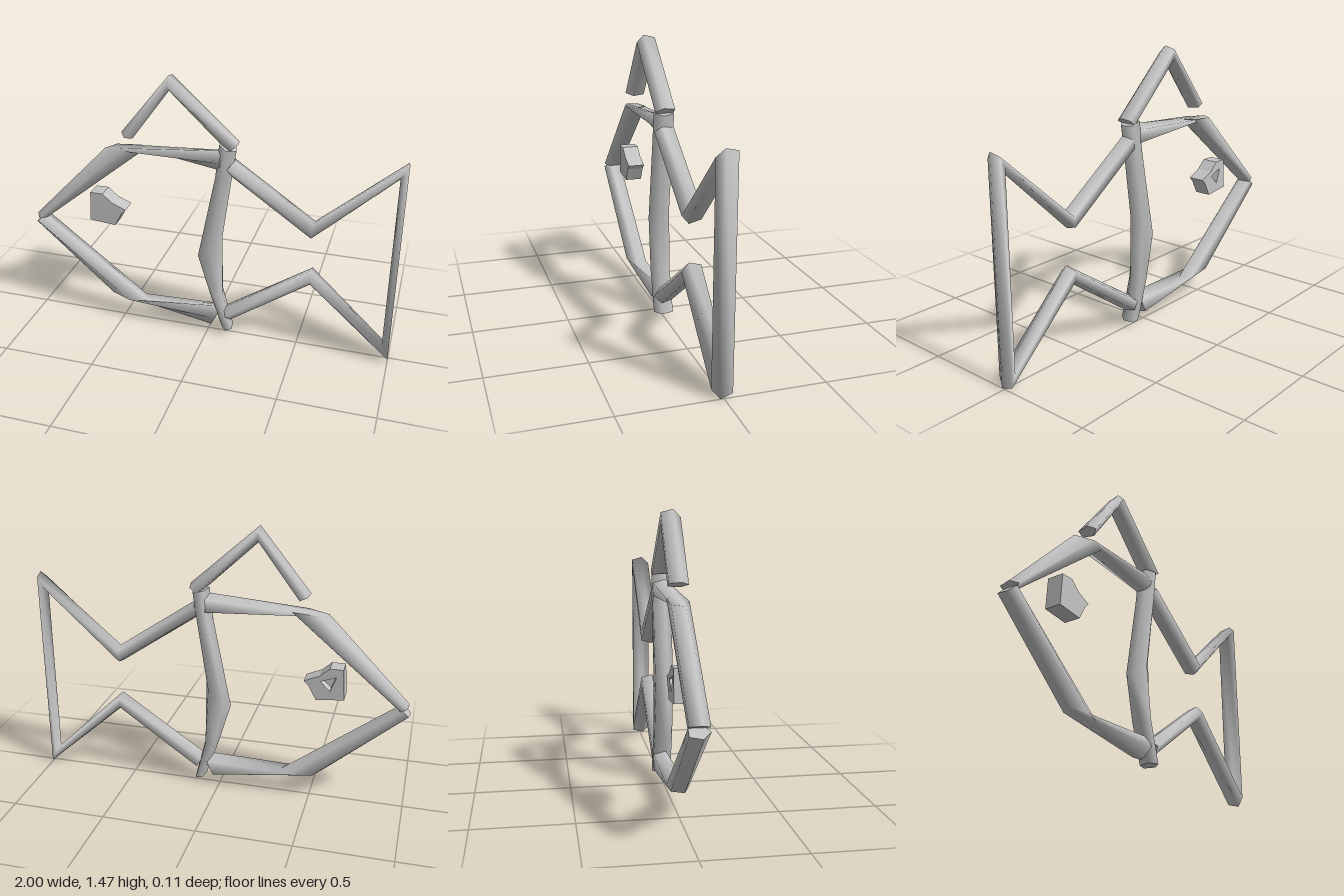
import * as THREE from 'three';

const SIDES = 5;
const DEPTH = 0.055;

// Strut swept through rings; each ring is [leftX, leftY, rightX, rightY] as seen along the travel
function strut(name, rings, material) {
  const positions = [];
  const index = [];
  const addRing = ([px, py, qx, qy]) => {
    for (let j = 0; j < SIDES; j++) {
      const a = Math.PI / 10 + (j * Math.PI * 2) / SIDES;
      const s = Math.cos(a) / Math.cos(Math.PI / 10) / 2;
      positions.push((px + qx) / 2 + (px - qx) * s, (py + qy) / 2 + (py - qy) * s, DEPTH * Math.sin(a));
    }
  };
  rings.forEach(addRing);
  for (let i = 0; i < rings.length - 1; i++) {
    for (let j = 0; j < SIDES; j++) {
      const a = i * SIDES + j;
      const b = i * SIDES + ((j + 1) % SIDES);
      index.push(a, b, a + SIDES, b, b + SIDES, a + SIDES);
    }
  }
  // end caps with their own vertices, so the ends stay sharp
  const start = rings.length * SIDES;
  addRing(rings[0]);
  addRing(rings[rings.length - 1]);
  for (let j = 1; j < SIDES - 1; j++) {
    index.push(start, start + j + 1, start + j);
    index.push(start + SIDES, start + SIDES + j, start + SIDES + j + 1);
  }
  const geometry = new THREE.BufferGeometry();
  geometry.setAttribute('position', new THREE.Float32BufferAttribute(positions, 3));
  geometry.setIndex(index);
  geometry.computeVertexNormals();
  const mesh = new THREE.Mesh(geometry, material);
  mesh.name = name;
  return mesh;
}

const toPoints = (list) => list.map(([x, y]) => new THREE.Vector2(x, y));

export function createModel() {
  const group = new THREE.Group();
  group.name = 'fishOutline';
  const grey = new THREE.MeshStandardMaterial({ color: 0xc4c4c4 });
  grey.name = 'grey';

  // Body outline, widening where it bends
  group.add(strut('upperBody', [
    [-0.99, 0.595, -0.94, 0.57],
    [-0.56, 1.04, -0.34, 1.058],
    [0.07, 1.1, 0.07, 0.99],
  ], grey));
  group.add(strut('lowerBody', [
    [0.02, 0.04, 0.08, 0.17],
    [-0.56, 0.145, -0.34, 0.125],
    [-1.0, 0.54, -0.95, 0.59],
  ], grey));

  // Curved bar dividing body and tail
  group.add(strut('bodyBar', [
    [0.08, 0.04, 0.14, 0.03],
    [0.01, 0.25, 0.085, 0.25],
    [-0.055, 0.47, 0.08, 0.6],
    [0.04, 0.95, 0.13, 0.97],
    [0.06, 1.13, 0.15, 1.105],
  ], grey));

  // Forked tail in one sweep
  group.add(strut('tail', [
    [0.14, 1.05, 0.09, 0.99],
    [0.56, 0.76, 0.55, 0.67],
    [1.0, 1.14, 0.962, 1.06],
    [1.0, 0.0, 0.962, 0.09],
    [0.56, 0.395, 0.56, 0.48],
    [0.13, 0.09, 0.09, 0.16],
  ], grey));

  // Fin above the back
  group.add(strut('topFin', [
    [-0.465, 1.14, -0.405, 1.11],
    [-0.2, 1.47, -0.2, 1.39],
    [0.16, 1.145, 0.105, 1.1],
  ], grey));

  // Eye: solid front, with a triangular recess in the back
  const outline = toPoints([
    [-0.665, 0.61], [-0.52, 0.595], [-0.48, 0.67], [-0.455, 0.695],
    [-0.535, 0.73], [-0.585, 0.775], [-0.655, 0.775],
  ]);
  const back = new THREE.Shape(outline);
  back.holes.push(new THREE.Path(toPoints([[-0.62, 0.73], [-0.54, 0.7], [-0.59, 0.65]])));
  const slab = (name, shape, z, depth) => {
    const mesh = new THREE.Mesh(new THREE.ExtrudeGeometry(shape, { depth, bevelEnabled: false }), grey);
    mesh.name = name;
    mesh.position.z = z;
    group.add(mesh);
  };
  slab('eyeBack', back, -0.055, 0.05);
  slab('eyeFront', new THREE.Shape(outline), -0.005, 0.04);

  return group;
}
